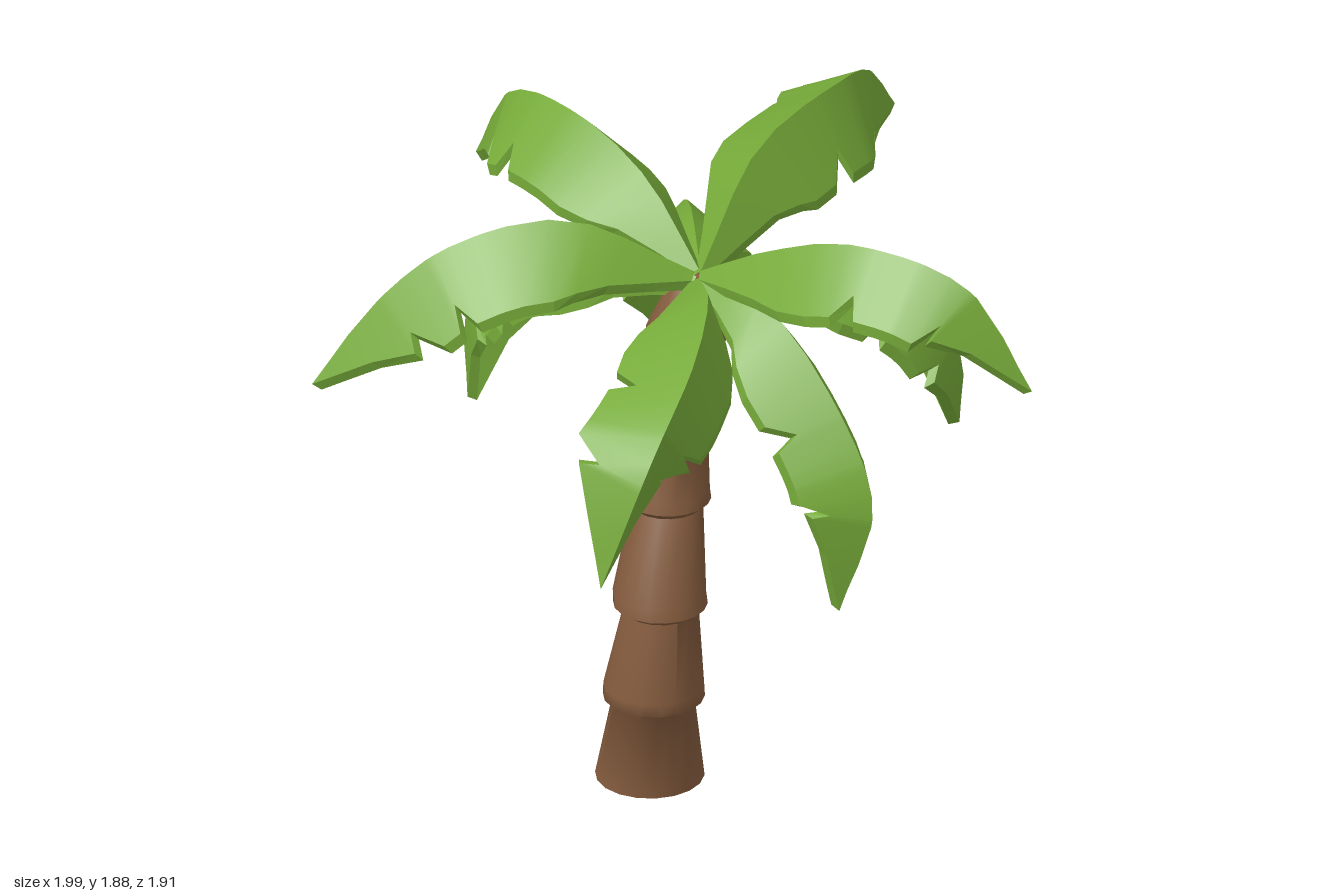
import * as THREE from 'three';
import { mergeGeometries, toCreasedNormals } from 'three/addons/utils/BufferGeometryUtils.js';

const bark = new THREE.MeshStandardMaterial({ color: 0x855c3e });
bark.name = 'bark brown';
const green = new THREE.MeshStandardMaterial({ color: 0x76aa39 });
green.name = 'leaf green';

// Trunk cross-sections: y, centre x, centre z, radius
const trunkRings = [
  [0, -0.16, 0.2, 0.15],
  [0.25, -0.125, 0.235, 0.115], [0.275, -0.12, 0.24, 0.14], [0.31, -0.12, 0.24, 0.138],
  [0.545, -0.1, 0.235, 0.104], [0.565, -0.1, 0.238, 0.13], [0.6, -0.105, 0.235, 0.128],
  [0.835, -0.122, 0.17, 0.098], [0.855, -0.122, 0.17, 0.12], [0.885, -0.122, 0.168, 0.115],
  [1.075, -0.12, 0.14, 0.092], [1.1, -0.122, 0.14, 0.117], [1.13, -0.122, 0.14, 0.114],
  [1.315, -0.09, 0.13, 0.085], [1.34, -0.088, 0.13, 0.112], [1.375, -0.088, 0.13, 0.109],
  [1.49, -0.075, 0.13, 0.068], [1.52, -0.072, 0.13, 0.05],
];

function createTrunk() {
  const n = trunkRings.length - 1;
  const geo = new THREE.CylinderGeometry(1, 1, 1, 18, n);
  const p = geo.attributes.position;
  for (let i = 0; i < p.count; i++) {
    const [y, cx, cz, r] = trunkRings[Math.round((p.getY(i) + 0.5) * n)];
    p.setXYZ(i, cx + p.getX(i) * r, y, cz + p.getZ(i) * r);
  }
  const mesh = new THREE.Mesh(toCreasedNormals(geo, 1.0), bark);
  mesh.name = 'trunk';
  return mesh;
}

// Skin between two rows of points
function strip(a, b, flip, flat) {
  const index = [];
  const n = a.length;
  for (let i = 0; i < n - 1; i++) {
    const [p, q, r, s] = [i, n + i, n + i + 1, i + 1];
    if (flip) index.push(p, r, q, p, s, r);
    else index.push(p, q, r, p, r, s);
  }
  let geo = new THREE.BufferGeometry().setFromPoints([...a, ...b]);
  geo.setIndex(index);
  if (flat) geo = geo.toNonIndexed();
  geo.computeVertexNormals();
  return flat ? geo : geo.toNonIndexed();
}

const stations = [0, 0.08, 0.17, 0.25, 0.34, 0.43, 0.48, 0.5, 0.56, 0.6, 0.62, 0.68, 0.735, 0.755, 0.86, 0.94, 1];
const notches = { 1: [0.48, 0.735], [-1]: [0.6, 0.735] };
const thickness = 0.032;

// Roof-shaped frond: a curved ridge with two notched, drooping halves
function createFrond({ name, path, width = 0.21, droop = 0.84, roll = 0 }) {
  const curve = new THREE.CatmullRomCurve3(path.map(p => new THREE.Vector3(...p)));
  const across = new THREE.Vector3().subVectors(curve.points[2], curve.points[0]);
  across.set(-across.z, 0, across.x).normalize();
  const ridge = [], under = [];
  const edge = { 1: [], [-1]: [] }, edgeUnder = { 1: [], [-1]: [] };
  for (const u of stations) {
    const p = curve.getPointAt(u), t = curve.getTangentAt(u);
    const s = across.clone().addScaledVector(t, -across.dot(t)).normalize();
    const up = new THREE.Vector3().crossVectors(s, t);
    const below = up.clone().multiplyScalar(-thickness);
    const w = width * Math.min(1, 0.12 + u * 3, (1 - u) / 0.3);
    ridge.push(p);
    under.push(p.clone().add(below));
    for (const side of [1, -1]) {
      const angle = droop - side * roll;
      const reach = w * (notches[side].includes(u) ? 0.66 : 1);
      const e = p.clone()
        .addScaledVector(s, side * reach * Math.cos(angle))
        .addScaledVector(up, -reach * Math.sin(angle));
      edge[side].push(e);
      edgeUnder[side].push(e.clone().add(below));
    }
  }
  const parts = [];
  for (const side of [1, -1]) {
    parts.push(
      strip(ridge, edge[side], side < 0, false),
      strip(under, edgeUnder[side], side > 0, false),
      strip(edge[side], edgeUnder[side], side < 0, true),
    );
  }
  const mesh = new THREE.Mesh(mergeGeometries(parts), green);
  mesh.name = name;
  return mesh;
}

// Ridge paths from crown to tip
const fronds = [
  { name: 'leftFrond',
    path: [[-0.03, 1.57, 0.15], [0.2, 1.7, 0.15], [0.48, 1.8, 0.15], [0.82, 1.74, 0.1], [0.99, 1.45, 0.04]] },
  { name: 'backFrond', width: 0.24, roll: -0.3,
    path: [[-0.03, 1.57, 0.14], [-0.02, 1.83, -0.12], [0, 1.88, -0.5], [-0.04, 1.82, -0.69], [-0.13, 1.57, -0.96]] },
  { name: 'frontFrond', width: 0.24, roll: 0.4,
    path: [[-0.02, 1.56, 0.17], [0.14, 1.62, 0.36], [0.24, 1.55, 0.58], [0.27, 1.37, 0.83], [0.18, 1.0, 0.95]] },
  { name: 'frontRightFrond', width: 0.24, droop: 0.72,
    path: [[-0.04, 1.57, 0.16], [-0.32, 1.74, 0.37], [-0.57, 1.67, 0.56], [-0.74, 1.5, 0.67], [-0.89, 1.24, 0.77]] },
  { name: 'rightFrond', width: 0.23, droop: 0.78,
    path: [[-0.04, 1.57, 0.14], [-0.25, 1.76, 0.08], [-0.5, 1.84, 0.01], [-0.81, 1.79, -0.1], [-1.0, 1.5, -0.2]] },
  { name: 'lowerRightFrond', width: 0.21,
    path: [[-0.04, 1.55, 0.15], [-0.34, 1.58, 0.13], [-0.64, 1.47, 0.12], [-0.82, 1.24, 0.11], [-0.82, 0.93, 0.11]] },
  { name: 'backRightFrond', width: 0.23, droop: 0.74,
    path: [[-0.04, 1.56, 0.13], [-0.24, 1.59, -0.12], [-0.43, 1.43, -0.35], [-0.54, 1.2, -0.46], [-0.57, 0.91, -0.52]] },
  { name: 'backLeftFrond', width: 0.21, droop: 0.78,
    path: [[-0.02, 1.56, 0.13], [0.17, 1.59, -0.1], [0.34, 1.43, -0.34], [0.42, 1.2, -0.46], [0.39, 0.94, -0.5]] },
  { name: 'lowerLeftFrond', width: 0.2,
    path: [[-0.02, 1.56, 0.16], [0.23, 1.55, 0.2], [0.46, 1.37, 0.24], [0.62, 1.09, 0.27], [0.51, 0.73, 0.27]] },
];

export function createModel() {
  const palm = new THREE.Group();
  palm.name = 'palmTree';
  const crown = new THREE.Group();
  crown.name = 'crown';
  crown.add(...fronds.map(createFrond));
  palm.add(createTrunk(), crown);
  return palm;
}
